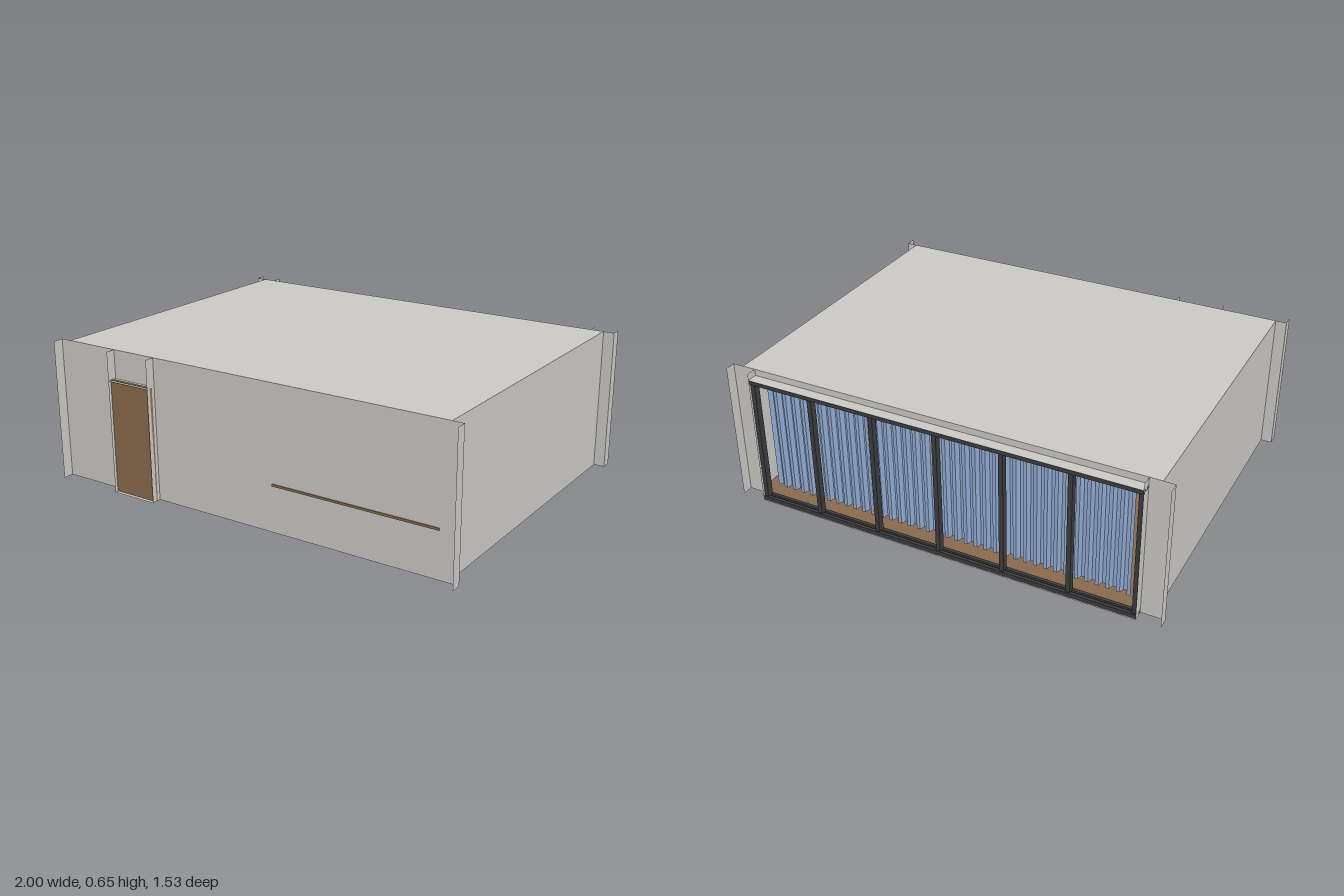
import * as THREE from 'three';

const mat = (name, color) => {
  const m = new THREE.MeshStandardMaterial({ color, side: THREE.DoubleSide });
  m.name = name;
  return m;
};

export function createModel() {
  const room = new THREE.Group();
  room.name = 'room';
  const plaster = mat('plaster', 0xc9c8c4);
  const wood = mat('wood', 0x886a4b);
  const metal = mat('darkMetal', 0x3c3c3e);
  const cloth = mat('blueCurtain', 0x8fa9cf);
  const leafBrown = mat('dryLeaf', 0x8a6040);

  const H = 0.645, X = 0.95, Z = 0.715, XO = 1, ZO = 0.765;

  const add = (name, geo, material, parent = room) => {
    const m = new THREE.Mesh(geo, material);
    m.name = name;
    parent.add(m);
    return m;
  };
  // box from minimum and maximum corners
  const box = (name, material, x0, x1, y0, y1, z0, z1, parent) => {
    const m = add(name, new THREE.BoxGeometry(x1 - x0, y1 - y0, z1 - z0), material, parent);
    m.position.set((x0 + x1) / 2, (y0 + y1) / 2, (z0 + z1) / 2);
    return m;
  };
  // single sheets: across x (wall), across z (side) and level
  const sideSheet = (name, x, y0, y1, z0, z1) => {
    const m = add(name, new THREE.PlaneGeometry(z1 - z0, y1 - y0), plaster);
    m.rotation.y = Math.sign(x) * Math.PI / 2;
    m.position.set(x, (y0 + y1) / 2, (z0 + z1) / 2);
  };
  const levelSheet = (name, material, x0, x1, y, z0, z1, down) => {
    const m = add(name, new THREE.PlaneGeometry(x1 - x0, z1 - z0), material);
    m.rotation.x = (down ? 1 : -1) * Math.PI / 2;
    m.position.set((x0 + x1) / 2, y, (z0 + z1) / 2);
  };
  // wall sheet with an opening that reaches the floor
  const wallSheet = (name, z, x0, x1, top) => {
    const s = new THREE.Shape();
    [[-XO, 0], [x0, 0], [x0, top], [x1, top], [x1, 0], [XO, 0], [XO, H], [-XO, H]]
      .forEach(([x, y], i) => (i ? s.lineTo(x, y) : s.moveTo(x, y)));
    const m = add(name, new THREE.ShapeGeometry(s), plaster);
    m.position.z = z;
  };

  // shell
  levelSheet('ceiling', plaster, -X, X, H, -Z, Z);
  levelSheet('floor', wood, -X, X, 0.002, -Z, Z);
  levelSheet('floorUnderside', wood, -X, X, 0, -Z, Z, true);
  const door = { x0: -0.69, x1: -0.47, top: 0.515 };
  const win = { x0: -0.895, x1: 0.89, top: 0.615 };
  wallSheet('frontWall', Z, door.x0, door.x1, door.top);
  wallSheet('backWall', -Z, win.x0, win.x1, win.top);
  for (const s of [-1, 1]) {
    sideSheet('sideWall', s * X, 0, H, -Z, Z);
    sideSheet('frontWallEnd', s * XO, 0, H, Z, ZO);
    sideSheet('backWallEnd', s * XO, 0, H, -ZO, -Z);
  }

  // door with reveals
  for (const x of [door.x0, door.x1]) sideSheet('doorReveal', x, 0, H, Z, 0.76);
  levelSheet('doorLintel', plaster, door.x0, door.x1, door.top, Z, 0.76);
  levelSheet('doorThreshold', plaster, door.x0, door.x1, 0, Z, 0.76);
  box('door', wood, door.x0, door.x1, 0.001, door.top + 0.002, 0.73, 0.745);

  // window reveals
  for (const x of [win.x0, win.x1]) sideSheet('windowReveal', x, 0, H, -ZO, -Z);
  levelSheet('windowLintel', plaster, win.x0, win.x1, win.top, -ZO, -Z);
  levelSheet('windowSill', plaster, win.x0, win.x1, 0, -ZO, -Z);

  // sliding window frame with six panels
  const frame = new THREE.Group();
  frame.name = 'windowFrame';
  room.add(frame);
  const step = (win.x1 - win.x0) / 6;
  for (const [z0, z1] of [[-0.76, -0.745], [-0.735, -0.72]]) {
    box('topRail', metal, win.x0, win.x1, win.top - 0.022, win.top - 0.001, z0, z1, frame);
    box('bottomRail', metal, win.x0, win.x1, 0.001, 0.02, z0, z1, frame);
  }
  for (let i = 0; i <= 6; i++) {
    const x = THREE.MathUtils.clamp(win.x0 + i * step, win.x0 + 0.011, win.x1 - 0.011);
    box('mullion', metal, x - 0.01, x + 0.01, 0.01, win.top - 0.01, -0.755, -0.725, frame);
  }

  // pleated curtain on a rail
  const pleats = 37, c0 = -0.83, c1 = 0.88;
  const curtain = new THREE.PlaneGeometry(c1 - c0, 0.575, pleats * 4, 1);
  const p = curtain.attributes.position;
  for (let i = 0; i < p.count; i++) {
    const k = i % (pleats * 4 + 1);
    p.setZ(i, k % 4 < 2 ? -0.012 : 0.012);
    p.setX(i, p.getX(i) + (k % 2 ? 0.004 : 0));
  }
  const flat = curtain.toNonIndexed();
  flat.computeVertexNormals();
  add('curtain', flat, cloth).position.set((c0 + c1) / 2, 0.3075, -0.65);
  box('curtainRail', metal, c0, c1, 0.595, 0.61, -0.66, -0.64);

  // desk along the front wall, its top just showing outside
  box('deskTop', wood, 0.14, 0.91, 0.205, 0.215, 0.45, 0.719);
  for (const x of [0.14, 0.895]) box('deskSide', wood, x, x + 0.015, 0.003, 0.205, 0.46, 0.713);
  box('wallShelf', wood, 0.14, 0.91, 0.4, 0.41, 0.6, 0.714);

  // chair with a star base
  const chair = new THREE.Group();
  chair.name = 'chair';
  chair.position.set(-0.13, 0, -0.42);
  room.add(chair);
  for (let i = 0; i < 5; i++) {
    const foot = add('chairFoot', new THREE.BoxGeometry(0.04, 0.008, 0.01), metal, chair);
    const a = i * Math.PI * 0.4;
    foot.position.set(Math.cos(a) * 0.02, 0.002, -Math.sin(a) * 0.02);
    foot.rotation.y = a;
  }
  box('chairStem', metal, -0.006, 0.006, 0, 0.12, -0.006, 0.006, chair);
  box('chairSeat', metal, -0.06, 0.06, 0.12, 0.135, -0.06, 0.06, chair);
  box('chairBack', metal, -0.055, 0.055, 0.15, 0.28, 0.05, 0.062, chair);

  // potted plant in the window corner
  const plant = new THREE.Group();
  plant.name = 'plant';
  plant.position.set(-0.9, 0, -0.58);
  room.add(plant);
  add('pot', new THREE.CylinderGeometry(0.035, 0.025, 0.07, 12), cloth, plant).position.y = 0.038;
  for (let i = 0; i < 7; i++) {
    const a = i * 2.4, r = 0.035 + 0.005 * (i % 4), y = 0.13 + i * 0.025;
    const tip = new THREE.Vector3(Math.cos(a) * r, y, Math.sin(a) * r);
    const curve = new THREE.QuadraticBezierCurve3(
      new THREE.Vector3(0, 0.06, 0), new THREE.Vector3(0, y, 0), tip);
    add('stem', new THREE.TubeGeometry(curve, 6, 0.003, 5), metal, plant);
    const leaf = add('leaf', new THREE.SphereGeometry(0.026, 8, 6), leafBrown, plant);
    leaf.scale.set(1, 0.3, 0.7);
    leaf.position.copy(tip);
    leaf.rotation.set(0, -a, -0.5);
  }
  return room;
}
